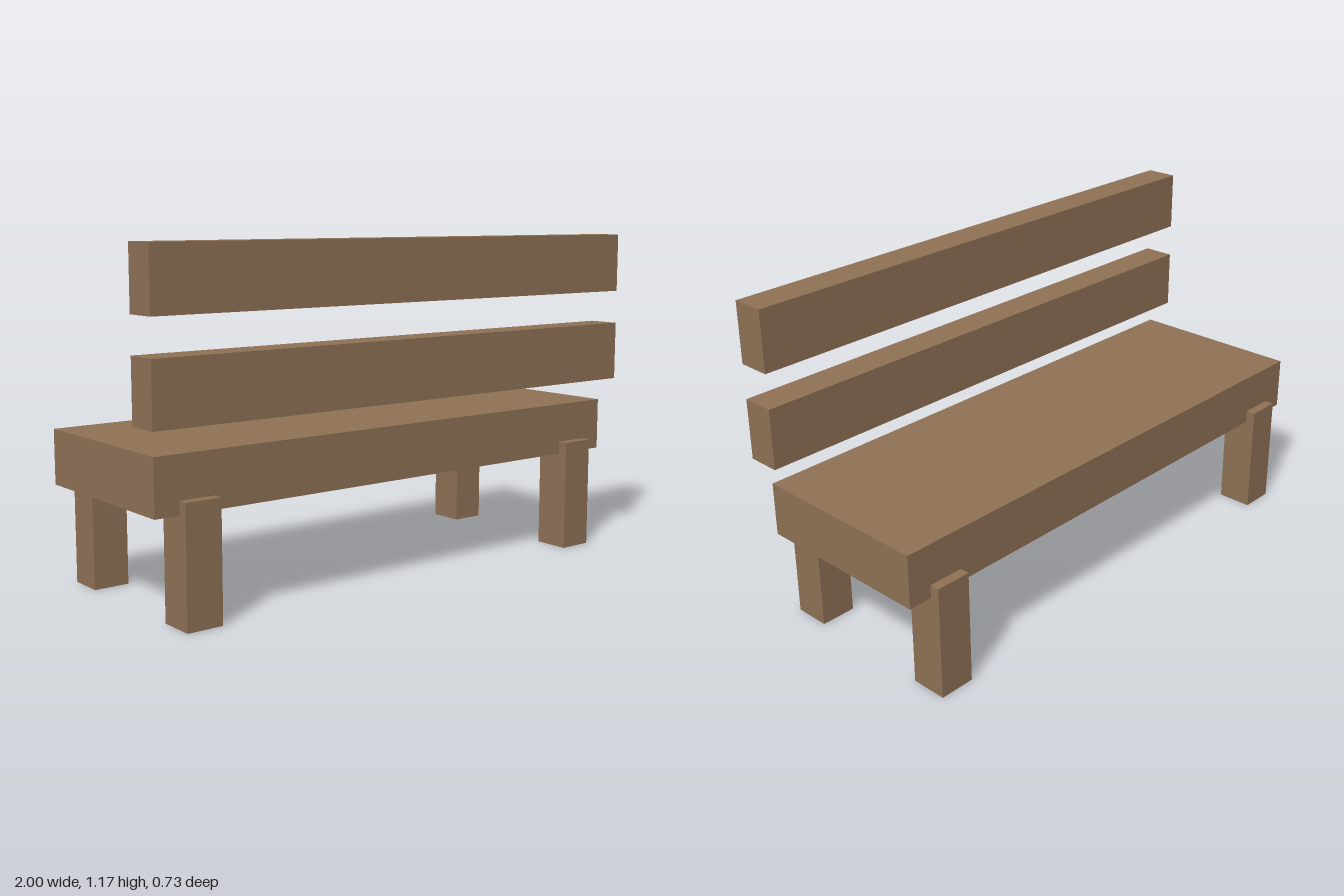
import * as THREE from 'three';

export function createModel() {
  const bench = new THREE.Group();
  bench.name = 'bench';

  const wood = new THREE.MeshStandardMaterial({ color: 0x8f7256 });
  wood.name = 'brown wood';

  // Box given by its lower and upper limits on each axis
  function addBox(name, [x0, x1], [y0, y1], [z0, z1]) {
    const mesh = new THREE.Mesh(new THREE.BoxGeometry(x1 - x0, y1 - y0, z1 - z0), wood);
    mesh.position.set((x0 + x1) / 2, (y0 + y1) / 2, (z0 + z1) / 2);
    mesh.name = name;
    bench.add(mesh);
  }

  // Thick seat slab
  addBox('seat', [-0.97, 0.97], [0.355, 0.542], [-0.332, 0.315]);

  // Two floating backrest slats
  addBox('lowerBackSlat', [-1, 1], [0.626, 0.836], [0.25, 0.366]);
  addBox('upperBackSlat', [-1, 1], [0.956, 1.166], [0.25, 0.366]);

  // Four legs, let into the seat and standing slightly proud of it
  for (const [side, x] of [['left', 0.822], ['right', -0.822]]) {
    const span = [x - 0.063, x + 0.063];
    addBox(side + 'FrontLeg', span, [0, 0.4], [0.221, 0.35]);
    addBox(side + 'BackLeg', span, [0, 0.4], [-0.366, -0.238]);
  }

  return bench;
}
